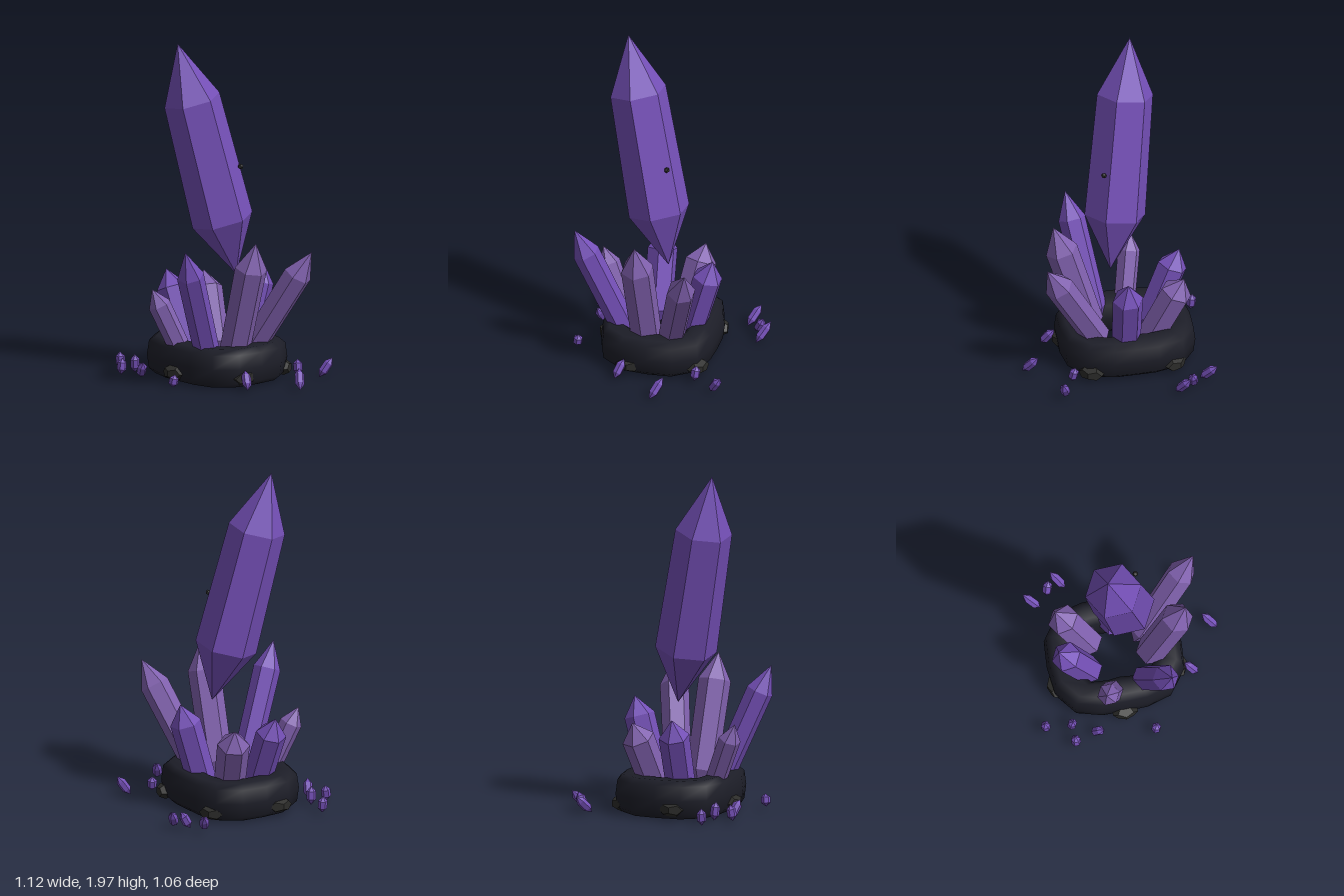
import * as THREE from 'three';
import { mergeVertices } from 'three/addons/utils/BufferGeometryUtils.js';

const material = (name, color) => {
  const m = new THREE.MeshStandardMaterial({ color });
  m.name = name;
  return m;
};

export function createModel() {
  const model = new THREE.Group();
  model.name = 'crystalCluster';
  const violet = material('violet', 0x7550b8);
  const lilac = material('paleLilac', 0x8262b0);
  const charcoal = material('charcoal', 0x1d1e28);
  const stone = material('stoneGrey', 0x2c2c2a);

  const add = (name, geometry, mat) => {
    const mesh = new THREE.Mesh(geometry, mat);
    mesh.name = name;
    model.add(mesh);
    return mesh;
  };

  // Six-sided crystal with a point at each end, running from one tip to the other
  const crystal = (name, from, to, radius, mat, low = 0.23, high = 0.77, taper = 0.92, roll = Math.PI / 2) => {
    const a = new THREE.Vector3(...from);
    const axis = new THREE.Vector3(...to).sub(a);
    const len = axis.length();
    const profile = [[0, 0], [radius, low * len], [radius * taper, high * len], [0, len]]
      .map(([x, y]) => new THREE.Vector2(x, y));
    const geometry = new THREE.LatheGeometry(profile, 6, roll).toNonIndexed();
    geometry.computeVertexNormals();
    const mesh = add(name, geometry, mat);
    mesh.position.copy(a);
    mesh.quaternion.setFromUnitVectors(new THREE.Vector3(0, 1, 0), axis.normalize());
  };

  // Large floating crystal
  crystal('mainCrystal', [0.03, 0.63, -0.02], [-0.15, 2, 0.27], 0.18, violet, 0.235, 0.755, 0.92);

  // Crystals growing out of the base
  const grown = [
    [[0.05, 0.1, 0.19], [0.18, 0.86, 0.5], 0.075, violet],
    [[0.06, 0.1, -0.03], [0.45, 0.8, -0.23], 0.08, lilac],
    [[0.1, 0.1, 0.08], [0.34, 0.88, 0.1], 0.09, lilac],
    [[-0.04, 0.1, -0.11], [-0.02, 0.66, -0.27], 0.085, violet],
    [[-0.2, 0.1, 0.11], [-0.41, 0.61, 0.13], 0.085, violet],
    [[-0.17, 0.1, -0.04], [-0.38, 0.57, -0.13], 0.09, lilac],
    [[-0.1, 0.1, 0.23], [-0.19, 0.57, 0.43], 0.062, lilac],
  ];
  grown.forEach(([from, to, r, mat], i) =>
    crystal(`clusterCrystal${i + 1}`, from, to, r, mat, 0.15, 0.8, 1.05));

  // Loose shards around the base
  const shards = [
    [[0.555, 0.03, -0.05], [0.475, 0.14, -0.11]],
    [[0.365, 0.03, -0.36], [0.4, 0.14, -0.43]],
    [[-0.42, 0.04, -0.365], [-0.51, 0.14, -0.425]],
    [[-0.255, 0.03, -0.46], [-0.33, 0.14, -0.53]],
    [[-0.37, 0.04, -0.43], [-0.35, 0.14, -0.48]],
    [[-0.28, 0.04, 0.44], [-0.215, 0.14, 0.475]],
    [[0.39, 0.04, 0.205], [0.32, 0.14, 0.165]],
    [[-0.53, 0.035, 0.37], [-0.54, 0.135, 0.37]],
    [[-0.39, 0.04, 0.385], [-0.38, 0.15, 0.395]],
    [[-0.38, 0.045, 0.5], [-0.385, 0.14, 0.485]],
    [[0.08, 0.05, 0.51], [0.09, 0.125, 0.5]],
    [[0.31, 0.05, -0.25], [0.29, 0.14, -0.26]],
  ];
  shards.forEach(([from, to], i) => crystal(`shard${i + 1}`, from, to, 0.027, violet, 0.28, 0.72, 1));

  // Rounded-square base ring, shaped from a torus
  const ring = new THREE.TorusGeometry(1, 0.3, 10, 16);
  const uv = ring.attributes.uv;
  const position = ring.attributes.position;
  const box = (t) => Math.sign(t) * Math.abs(t) ** 0.65;
  for (let i = 0; i < position.count; i++) {
    const u = uv.getX(i) * Math.PI * 2;
    const v = uv.getY(i) * Math.PI * 2;
    const c = Math.cos(u), s = -Math.sin(u);
    const outer = (Math.abs(c / 0.395) ** 3 + Math.abs(s / 0.335) ** 3) ** (-1 / 3);
    const radius = outer - 0.09 * (1 - box(Math.cos(v)));
    position.setXYZ(i, -0.068 + radius * c, 0.145 + 0.115 * box(Math.sin(v)), 0.04 + radius * s);
  }
  ring.deleteAttribute('uv');
  ring.deleteAttribute('normal');
  const smoothRing = mergeVertices(ring, 1e-4);
  smoothRing.computeVertexNormals();
  add('baseRing', smoothRing, charcoal);

  // Stones set into the ring, as [x, y, z, turn]
  const stones = [
    [-0.07, 0.09, 0.365, 0],
    [-0.43, 0.095, 0.14, Math.PI / 2],
    [0.285, 0.09, 0.15, Math.PI / 2],
    [0.19, 0.08, -0.235, -0.6],
    [-0.3, 0.08, -0.235, 0.6],
  ];
  stones.forEach(([x, y, z, turn], i) => {
    const mesh = add(`stone${i + 1}`, new THREE.DodecahedronGeometry(1), stone);
    mesh.scale.set(0.078, 0.046, 0.055);
    mesh.position.set(x, y, z);
    mesh.rotation.y = turn;
  });

  // Small pebble stuck to the main crystal
  add('pebble', new THREE.DodecahedronGeometry(0.016), stone).position.set(0.068, 1.27, -0.02);

  return model;
}
